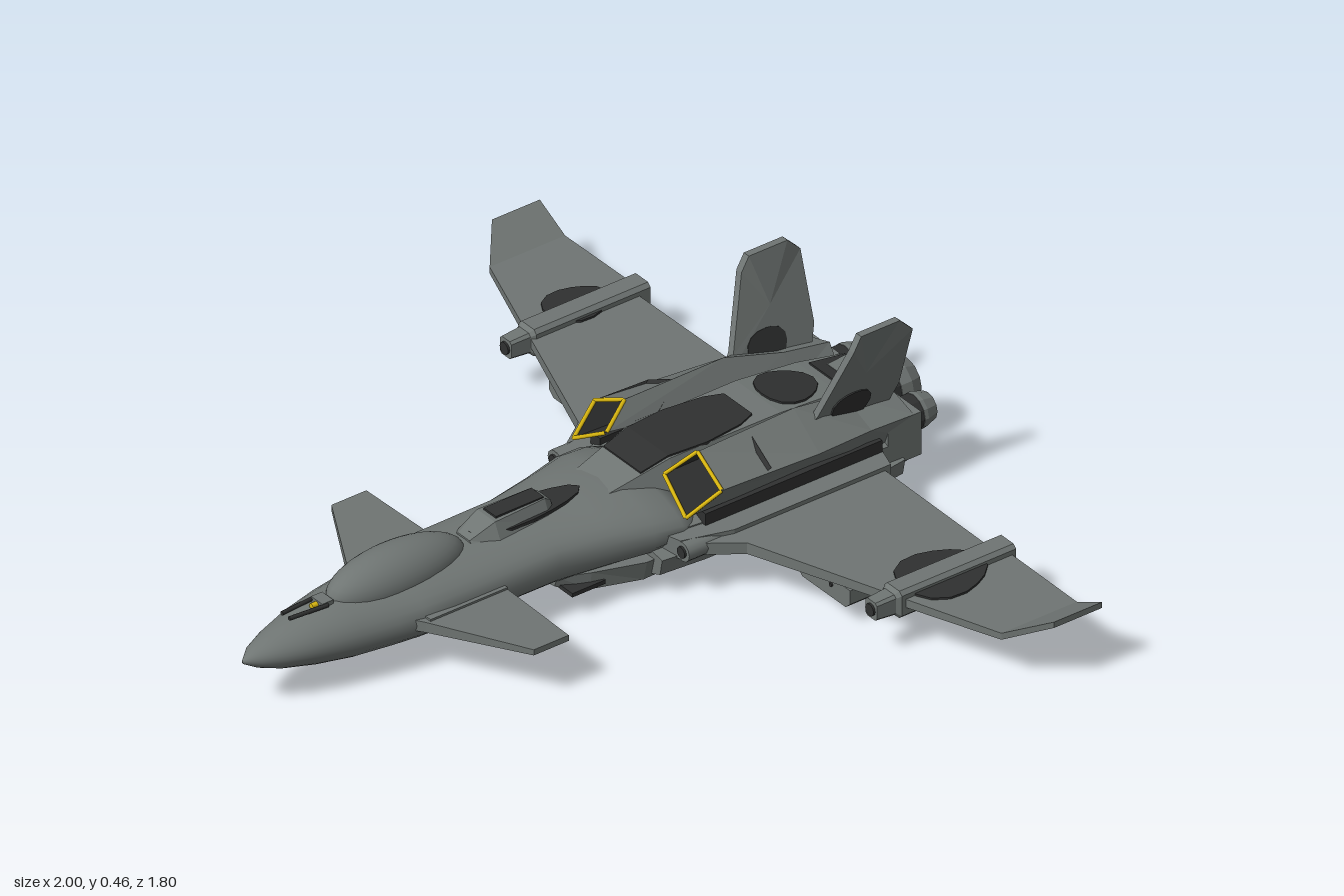
import * as THREE from 'three';

const mat = (name, color) => Object.assign(new THREE.MeshStandardMaterial({ color }), { name });

// Skin over rings of [x, y, z], each counter-clockwise seen from the first ring's outer side
function loft(rings, { smooth = false, front = true, back = true } = {}) {
  const n = rings[0].length, pos = rings.flat(2), idx = [];
  for (let i = 0; i < rings.length - 1; i++) for (let j = 0; j < n; j++) {
    const k = (j + 1) % n, a = i * n + j, b = i * n + k, c = a + n, d = b + n;
    idx.push(a, c, b, b, c, d);
  }
  const cap = (r, flip) => {
    const c = pos.length / 3, ring = rings[r];
    for (let q = 0; q < 3; q++) pos.push(ring.reduce((s, p) => s + p[q], 0) / n);
    for (let j = 0; j < n; j++) {
      const a = r * n + j, b = r * n + (j + 1) % n;
      idx.push(c, flip ? b : a, flip ? a : b);
    }
  };
  if (front) cap(0, false);
  if (back) cap(rings.length - 1, true);
  let g = new THREE.BufferGeometry();
  g.setAttribute('position', new THREE.Float32BufferAttribute(pos, 3));
  g.setIndex(idx);
  if (!smooth) g = g.toNonIndexed();
  g.computeVertexNormals();
  return g;
}

// Right half outline (bottom to top) mirrored into a full ring at z
const sym = (z, half) => [...half, ...half.slice().reverse().map(([x, y]) => [-x, y])].map(([x, y]) => [x, y, z]);

// Rounded ring: half width, bottom, top, squareness
function oval(z, w, y0, y1, e = 2, n = 28) {
  return Array.from({ length: n }, (_, i) => {
    const t = i / n * Math.PI * 2, c = Math.cos(t), s = Math.sin(t);
    const p = v => Math.sign(v) * Math.abs(v) ** (2 / e);
    return [w * p(c), (y0 + y1) / 2 + (y1 - y0) / 2 * p(s), z];
  });
}

// Flat plate from [x, z] points, between two heights
function plate(pts, y0, y1) {
  const s = new THREE.Shape(pts.map(([x, z]) => new THREE.Vector2(x, -z)));
  return new THREE.ExtrudeGeometry(s, { depth: y1 - y0, bevelEnabled: false }).rotateX(-Math.PI / 2).translate(0, y0, 0);
}

const box = (x0, x1, y0, y1, z0, z1) => new THREE.BoxGeometry(x1 - x0, y1 - y0, z1 - z0)
  .translate((x0 + x1) / 2, (y0 + y1) / 2, (z0 + z1) / 2);

const blob = (x, z, rx, rz, n = 16) => Array.from({ length: n }, (_, i) => {
  const t = i / n * Math.PI * 2, k = 1 + 0.06 * Math.sin(3 * t);
  return [x + rx * k * Math.cos(t), z + rz * k * Math.sin(t)];
});

// Move vertices by a rule and refresh the normals
function bend(g, rule) {
  const p = g.attributes.position, v = new THREE.Vector3();
  for (let i = 0; i < p.count; i++) { rule(v.fromBufferAttribute(p, i)); p.setXYZ(i, v.x, v.y, v.z); }
  g.computeVertexNormals();
  return g;
}

// Mirror across x, keeping faces outward
function mirror(g) {
  const m = g.index ? g.toNonIndexed() : g.clone();
  for (const key of ['position', 'normal']) {
    const a = m.attributes[key];
    for (let i = 0; i < a.count; i += 3) {
      const t = [0, 2, 1].map(k => [-a.getX(i + k), a.getY(i + k), a.getZ(i + k)]);
      t.forEach((q, k) => a.setXYZ(i + k, ...q));
    }
  }
  return m;
}

// Rod along z
const rod = (x, y, z0, z1, r, n = 12) => new THREE.CylinderGeometry(r, r, z1 - z0, n).rotateX(Math.PI / 2).translate(x, y, (z0 + z1) / 2);

export function createModel() {
  const grey = mat('hull grey', 0x6f7573), dark = mat('dark grey', 0x2f3030), yellow = mat('trim yellow', 0xe0bc10);
  const root = new THREE.Group();
  root.name = 'jet';
  const add = (name, g, m = grey) => { const o = new THREE.Mesh(g, m); o.name = name; root.add(o); };
  const both = (name, g, m) => { add(name + 'Left', g, m); add(name + 'Right', mirror(g), m); };

  // Smooth forward fuselage
  add('fuselage', loft([
    [0.9, 0.004, 0.115, 0.125], [0.87, 0.03, 0.098, 0.145], [0.82, 0.053, 0.08, 0.162], [0.74, 0.078, 0.063, 0.182],
    [0.65, 0.098, 0.05, 0.195], [0.56, 0.114, 0.047, 0.2], [0.5, 0.128, 0.055, 0.2, 2.2], [0.42, 0.135, 0.06, 0.2, 2.4],
    [0.14, 0.135, 0.06, 0.202, 2.5], [0.02, 0.158, 0.06, 0.208, 2.4], [-0.08, 0.185, 0.06, 0.215, 2.2], [-0.15, 0.195, 0.07, 0.205, 2],
    [-0.2, 0.185, 0.08, 0.185, 2],
  ].map(a => oval(...a)), { smooth: true }));

  // Canopy and the raised block behind it
  add('canopy', new THREE.SphereGeometry(1, 28, 18).scale(0.072, 0.07, 0.182).translate(0, 0.187, 0.487));
  add('dorsalPatch', plate(blob(0, 0.145, 0.046, 0.15), 0.205, 0.213), dark);
  add('dorsalBlock', loft([
    sym(0.3, [[0.04, 0.19], [0.02, 0.205]]), sym(0.24, [[0.055, 0.19], [0.032, 0.236]]),
    sym(0.1, [[0.045, 0.19], [0.026, 0.238]]), sym(0.08, [[0.035, 0.19], [0.02, 0.225]]),
  ]));
  add('dorsalPanel', box(-0.022, 0.022, 0.236, 0.241, 0.1, 0.23), dark);

  // Slim nose guns
  both('noseGun', rod(0, 0, -0.05, 0.05, 0.005, 8).rotateY(-0.08).translate(0.017, 0.193, 0.735), dark);
  add('noseGunMount', box(-0.02, 0.02, 0.18, 0.2, 0.67, 0.7));
  add('noseSight', rod(0, 0.19, 0.7, 0.715, 0.007, 8), yellow);

  // Rear body, belly and spine
  const core = [[0.14, 0.05], [0.2, 0.08], [0.2, 0.145], [0.14, 0.17]];
  add('rearBody', loft([
    sym(-0.13, core.map(([x, y]) => [x * 0.93, y])), sym(-0.25, core), sym(-0.7, core),
    sym(-0.78, core.map(([x, y]) => [x * 0.97, 0.14 + (y - 0.14) * 0.85])),
  ]));
  add('belly', loft([
    sym(0.13, [[0.07, 0.058], [0.1, 0.062], [0.11, 0.09]]), sym(0.06, [[0.085, 0.012], [0.135, 0.045], [0.14, 0.09]]),
    sym(-0.06, [[0.1, 0.002], [0.168, 0.04], [0.18, 0.09]]), sym(-0.68, [[0.1, 0.03], [0.165, 0.055], [0.18, 0.09]]),
    sym(-0.77, [[0.08, 0.06], [0.14, 0.075], [0.16, 0.1]]),
  ]));
  both('bellyPanel', box(0.1, 0.15, 0.055, 0.065, 0.03, 0.12), dark);
  add('spine', loft([
    sym(-0.05, [[0.1, 0.15], [0.06, 0.21]]), sym(-0.2, [[0.115, 0.15], [0.078, 0.25]]), sym(-0.5, [[0.115, 0.15], [0.08, 0.25]]),
    sym(-0.66, [[0.105, 0.15], [0.075, 0.236]]), sym(-0.78, [[0.09, 0.15], [0.06, 0.22]]),
  ]));
  // Dark camouflage along the spine, following its slope
  const strip = (z, w, y) => sym(z, [[w, y - 0.004], [w, y + 0.004]]);
  add('spinePatchFront', loft([strip(-0.13, 0.066, 0.231), strip(-0.2, 0.072, 0.25), strip(-0.3, 0.08, 0.25),
    strip(-0.4, 0.068, 0.25), strip(-0.445, 0.05, 0.25)]), dark);
  add('spinePatchRear', bend(plate(blob(0, -0.575, 0.068, 0.07), 0, 0.005), v => { v.y += 0.25 - Math.max(0, -0.5 - v.z) * 0.088; }), dark);
  add('spinePatchTail', loft([strip(-0.68, 0.055, 0.234), strip(-0.775, 0.052, 0.221)]), dark);

  // Tilted air intakes with hollow mouths and yellow rims
  const lip = [[0.2, 0.178, -0.15], [0.226, 0.232, -0.228], [0.13, 0.28, -0.235], [0.103, 0.236, -0.165]];
  const deep = lip.map(([x, y, z]) => [x * 0.97, y, z - 0.14]);
  both('intake', loft([lip,
    [[0.185, 0.165, -0.5], [0.218, 0.215, -0.5], [0.125, 0.285, -0.5], [0.08, 0.2, -0.5]],
    [[0.185, 0.15, -0.65], [0.207, 0.21, -0.65], [0.105, 0.25, -0.65], [0.07, 0.18, -0.65]],
    [[0.19, 0.14, -0.77], [0.2, 0.2, -0.77], [0.1, 0.232, -0.77], [0.06, 0.17, -0.77]]], { front: false }));
  both('intakeMouth', loft([deep, lip], { back: false }), dark);
  lip.forEach((p, i) => both('intakeRim' + i,
    new THREE.TubeGeometry(new THREE.LineCurve3(new THREE.Vector3(...p), new THREE.Vector3(...lip[(i + 1) % 4])), 1, 0.005, 5), yellow));

  // Wings: tapering in thickness, with upturned tips
  const thin = v => { v.y = 0.117 + (v.y - 0.117) * (1.15 - 0.65 * v.x) + Math.max(0, v.x - 0.91) * 0.52; };
  both('wing', bend(plate([[0.18, -0.14], [0.25, -0.17], [0.3, -0.24], [0.91, -0.465], [0.91, -0.67], [0.68, -0.67], [0.66, -0.65], [0.18, -0.65]], 0.102, 0.132), thin));
  both('wingTip', bend(plate([[0.91, -0.465], [1, -0.54], [1, -0.67], [0.91, -0.67]], 0.102, 0.132), thin));
  both('wingRoot', plate([[0.15, -0.1], [0.22, -0.12], [0.255, -0.24], [0.255, -0.665], [0.15, -0.7]], 0.095, 0.142));
  add('wingPatchLeft', plate(blob(0.65, -0.5, 0.092, 0.105), 0.128, 0.133), dark);
  add('wingPatchRight', plate(blob(-0.675, -0.52, 0.064, 0.08), 0.128, 0.133), dark);
  both('wingUnderPatch', plate(blob(0.66, -0.52, 0.075, 0.085), 0.102, 0.107), dark);

  // Wing pods with guns
  const podHalf = (s) => [[0.022, 0.079], [0.031, 0.088], [0.031, 0.139], [0.022, 0.148]].map(([x, y]) => [x * s, 0.115 + (y - 0.115) * s]);
  both('wingPod', loft([sym(-0.31, podHalf(0.65)), sym(-0.36, podHalf(0.75)), sym(-0.37, podHalf(1)), sym(-0.68, podHalf(1))]).translate(0.65, 0, 0));
  both('wingPodMuzzle', rod(0.65, 0.114, -0.33, -0.305, 0.015), dark);

  // Weapon boxes under the wings
  const crate = z => [[0.365, 0.04], [0.52, 0.04], [0.536, 0.055], [0.536, 0.09], [0.35, 0.09], [0.35, 0.055]].map(p => [...p, z]);
  both('weaponBox', loft([crate(-0.34), crate(-0.62)]));
  both('weaponPylon', box(0.38, 0.5, 0.085, 0.108, -0.58, -0.38));
  for (const x of [0.42, 0.47]) both('weaponPort' + x * 100, rod(x, 0.073, -0.345, -0.336, 0.005, 8), dark);

  // Canards
  both('canard', bend(plate([[0.11, 0.53], [0.14, 0.51], [0.36, 0.385], [0.36, 0.29], [0.11, 0.29]], 0.113, 0.141),
    v => { v.y = 0.127 + (v.y - 0.127) * (1.2 - 1.9 * v.x); }));
  both('canardRoot', box(0.12, 0.143, 0.11, 0.145, 0.29, 0.5));

  // Folded machinery along the flanks
  both('flankGun', rod(0.228, 0.118, -0.34, -0.12, 0.024));
  both('flankMuzzle', rod(0.228, 0.118, -0.125, -0.115, 0.014), dark);
  both('flankArm', box(0.19, 0.245, 0.075, 0.12, -0.6, -0.36));
  both('flankGap', box(0.17, 0.205, 0.14, 0.172, -0.68, -0.2), dark);
  both('flankLeg', loft([[-0.08, 0.8], [-0.2, 1], [-0.66, 1], [-0.74, 0.8]].map(([z, s]) =>
    [[0.15, 0.04], [0.16 + 0.05 * s, 0.06], [0.16 + 0.06 * s, 0.1], [0.15, 0.11]].map(p => [...p, z]))));
  both('rearHousing', box(0.09, 0.2, 0.09, 0.2, -0.79, -0.7));

  // Tail fins leaning outwards, vertical at the top
  const finX = y => 0.137 + 0.063 * Math.min(1, (y - 0.22) / 0.205);
  const fin = [[-0.5, 0.21], [-0.54, 0.265], [-0.6, 0.43], [-0.62, 0.465], [-0.725, 0.465], [-0.76, 0.43], [-0.76, 0.265], [-0.74, 0.21]];
  const side = d => fin.map(([z, y]) => [finX(y) + d, y, z]);
  both('tailFin', loft([side(-0.009), side(0.009)]));
  const spot = d => blob(-0.63, 0.255, 0.052, 0.045).reverse().map(([z, y]) => [finX(y) + d, y, z]);
  both('finPatchOuter', loft([spot(0.012), spot(0.008)]), dark);
  both('finPatchInner', loft([spot(-0.008), spot(-0.012)]), dark);

  // Engine nozzles: dark collar, grey petals, hollow at the back
  const turn = pts => {
    const g = new THREE.LatheGeometry(pts.map(p => new THREE.Vector2(...p)), 12).toNonIndexed().rotateX(-Math.PI / 2);
    g.computeVertexNormals();
    return g;
  };
  const engine = (put, name, r, split, end, x, y) => {
    put(name + 'Collar', turn([[r * 0.6, 0.76], [r * 0.97, 0.78], [r * 0.97, split]]).translate(x, y, 0), dark);
    put(name + 'Nozzle', turn([[r * 0.97, split], [r, split], [r, end - 0.03], [r * 0.78, end], [r * 0.66, end]]).translate(x, y, 0));
    put(name + 'Bore', turn([[r * 0.66, end], [r * 0.55, split], [0, split]]).translate(x, y, 0), dark);
  };
  engine(add, 'main', 0.065, 0.845, 0.905, 0, 0.138);
  engine(both, 'side', 0.043, 0.828, 0.868, 0.122, 0.145);
  add('tailBlock', loft([
    sym(-0.71, [[0.035, 0.2], [0.03, 0.235]]), sym(-0.79, [[0.042, 0.2], [0.036, 0.237]]), sym(-0.82, [[0.03, 0.205], [0.025, 0.23]]),
  ]));
  add('tailLight', box(-0.012, 0.012, 0.21, 0.222, -0.822, -0.816), yellow);
  return root;
}
